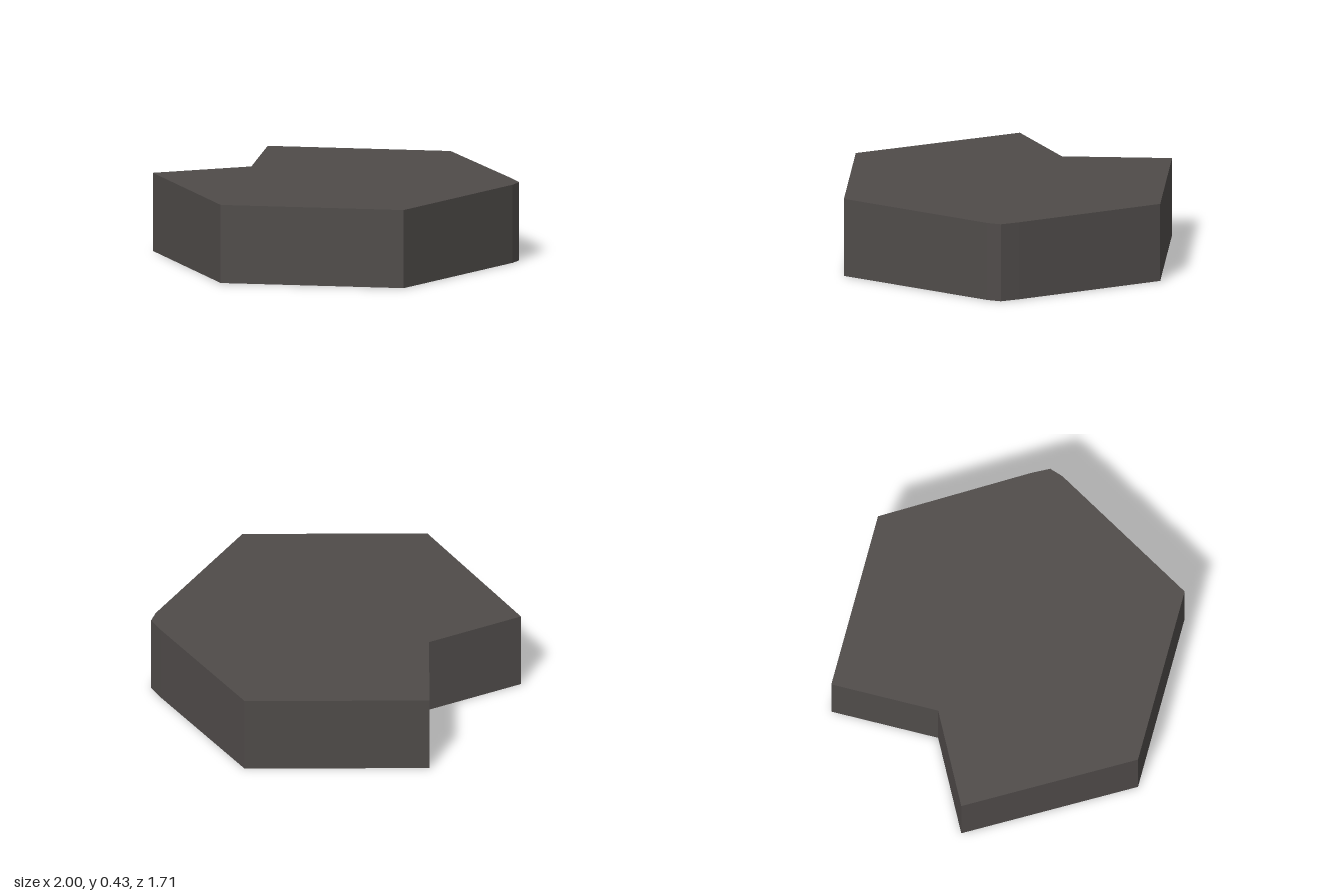
import * as THREE from 'three';

const HEIGHT = 0.43;

// Outline seen from above as [x, z], counter-clockwise from the left tip
const OUTLINE = [
  [-1, 0], [-0.5, 0.857], [0.5, 0.857],
  [0.975, 0.05], [1, -0.025], [0.95, -0.12],
  [0.5, -0.857], [-0.5, -0.857], [-0.5, -0.26],
];

// One upright quad per outline edge, with unshared corners for hard edges
function wallGeometry() {
  const positions = [];
  OUTLINE.forEach(([ax, az], i) => {
    const [bx, bz] = OUTLINE[(i + 1) % OUTLINE.length];
    positions.push(
      ax, 0, az, bx, 0, bz, bx, HEIGHT, bz,
      ax, 0, az, bx, HEIGHT, bz, ax, HEIGHT, az,
    );
  });
  const geometry = new THREE.BufferGeometry();
  geometry.setAttribute('position', new THREE.Float32BufferAttribute(positions, 3));
  geometry.computeVertexNormals();
  return geometry;
}

export function createModel() {
  const group = new THREE.Group();
  group.name = 'notchedHexTile';

  const stone = new THREE.MeshStandardMaterial({ color: 0x4f4b49, side: THREE.DoubleSide });
  stone.name = 'darkStone';

  // Flat lid
  const shape = new THREE.Shape(OUTLINE.map(([x, z]) => new THREE.Vector2(x, -z)));
  const lid = new THREE.Mesh(new THREE.ShapeGeometry(shape).rotateX(-Math.PI / 2), stone);
  lid.position.y = HEIGHT;
  lid.name = 'topFace';

  // Thin side walls, open underneath
  const walls = new THREE.Mesh(wallGeometry(), stone);
  walls.name = 'sideWalls';

  group.add(lid, walls);
  return group;
}
